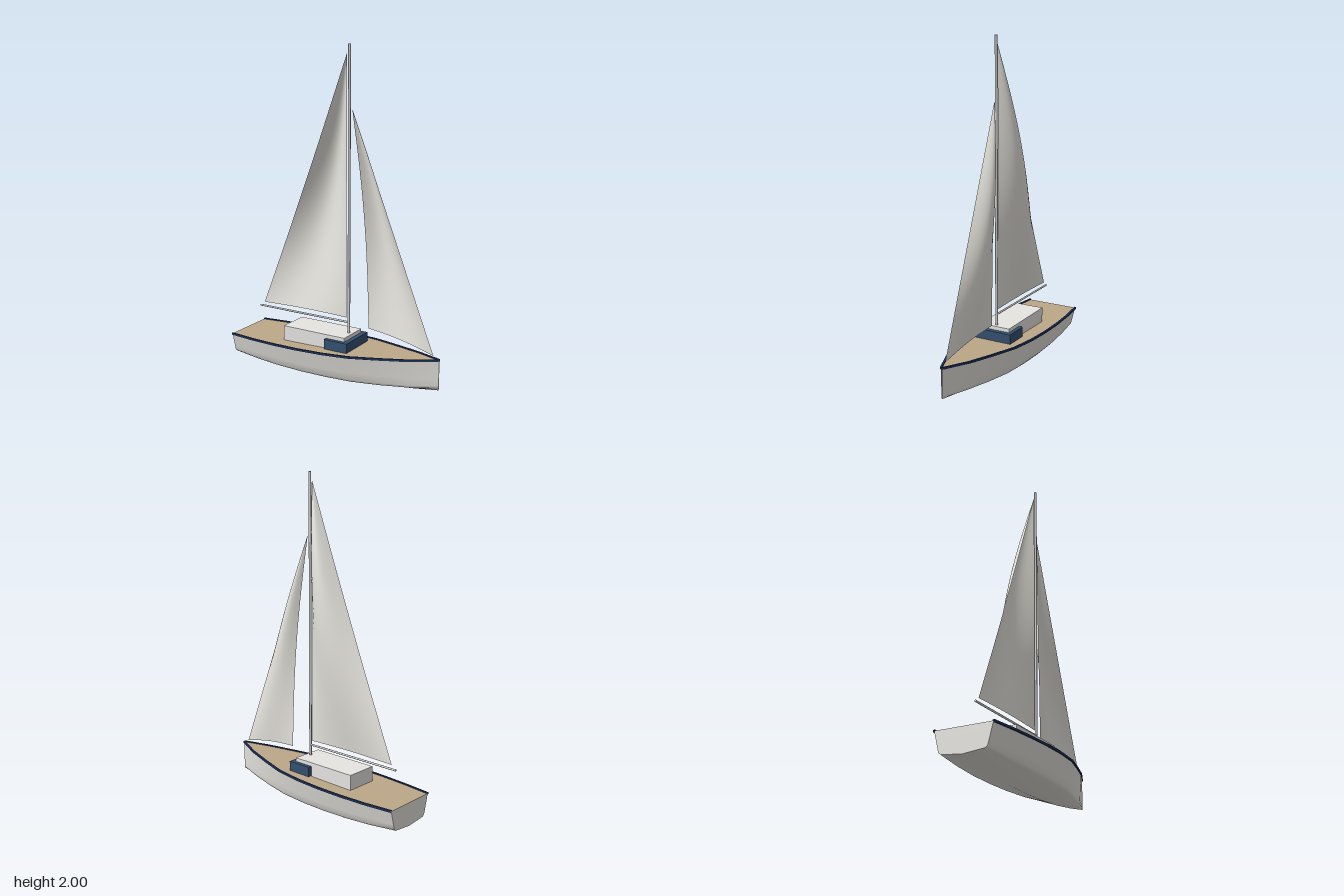
import * as THREE from 'three';

const mat = (name, color, side = THREE.FrontSide) => {
  const m = new THREE.MeshStandardMaterial({ color, side });
  m.name = name;
  return m;
};

// Skins a grid of points (rows of equal length) with smooth normals
function skin(rows) {
  const n = rows[0].length, index = [];
  for (let i = 0; i < rows.length - 1; i++)
    for (let j = 0; j < n - 1; j++) {
      const a = i * n + j, b = a + 1, c = a + n, d = c + 1;
      index.push(a, b, c, b, d, c);
    }
  const g = new THREE.BufferGeometry();
  g.setAttribute('position', new THREE.Float32BufferAttribute(rows.flat(2), 3));
  g.setIndex(index);
  g.computeVertexNormals();
  return g;
}

// Stations along the hull: x, half beam at the deck, deck height, keel height
const STATIONS = [
  [-0.68, 0.17, 0.2, 0.06], [-0.51, 0.19, 0.201, 0.036], [-0.34, 0.201, 0.203, 0.018],
  [-0.17, 0.204, 0.206, 0.008], [0, 0.197, 0.21, 0.005], [0.17, 0.176, 0.215, 0.008],
  [0.34, 0.128, 0.222, 0.018], [0.51, 0.074, 0.23, 0.036], [0.675, 0.003, 0.24, 0.06],
];

// Half section from deck edge over the chine to the keel
function halfSection([x, w, deck, keel], side) {
  const chine = keel + 0.015 + 0.035 * Math.cos((x / 0.68) * Math.PI / 2);
  const points = [0, 0.33, 0.67, 0.93].map(t =>
    [x, deck + (chine - deck) * t, side * w * (1 - 0.19 * t)]);
  points.push([x, chine + (keel - chine) * 0.16, side * w * 0.74]);
  points.push([x, chine + (keel - chine) * 0.55, side * w * 0.4]);
  points.push([x, keel, 0]);
  return points;
}

// Square rail section around the deck edge
function railSection([x, w, deck], side) {
  const r = 0.006;
  return [[r, -r], [r, r], [-r, r], [-r, -r], [r, -r]].map(([a, b]) => [x, deck + b, side * (w + a)]);
}

// Sail surface: front and rear edges as functions of height, with a belly towards -z
function sail(front, rear, depth, footLift = 0) {
  const rows = [], N = 24, M = 16;
  for (let i = 0; i <= N; i++) {
    const v = i / N, a = front(v), b = rear(v), row = [];
    for (let j = 0; j <= M; j++) {
      const u = j / M, bulge = Math.sin(Math.PI * u);
      row.push([
        a[0] + (b[0] - a[0]) * u,
        a[1] + (b[1] - a[1]) * u + footLift * bulge * (1 - v),
        a[2] + (b[2] - a[2]) * u - depth * bulge * Math.sin(Math.PI * v),
      ]);
    }
    rows.push(row);
  }
  return skin(rows);
}

export function createModel() {
  const model = new THREE.Group();
  model.name = 'sailboat';
  const hullWhite = mat('hullWhite', 0xe6e4de, THREE.DoubleSide);
  const cabinWhite = mat('cabinWhite', 0xe8e6e3);
  const teak = mat('teak', 0xbda888, THREE.DoubleSide);
  const navy = mat('navy', 0x1f3562, THREE.DoubleSide);
  const canopyBlue = mat('canopyBlue', 0x35506f);
  const spar = mat('sparGrey', 0xd2d2d0);
  const cloth = mat('sailCloth', 0xe8e6df, THREE.DoubleSide);

  const add = (name, geometry, material, x = 0, y = 0, z = 0) => {
    const m = new THREE.Mesh(geometry, material);
    m.name = name;
    m.position.set(x, y, z);
    model.add(m);
    return m;
  };

  // Hull, transom and deck
  add('hull', skin(STATIONS.map(s =>
    [...halfSection(s, 1), ...halfSection(s, -1).reverse().slice(1)])), hullWhite);
  add('transom', skin([halfSection(STATIONS[0], -1), halfSection(STATIONS[0], 1)]), hullWhite);
  add('deck', skin(STATIONS.map(([x, w, y]) => [[x, y, -w], [x, y, w]])), teak);

  // Rails along both deck edges
  for (const side of [1, -1]) {
    const g = skin(STATIONS.map(s => railSection(s, side))).toNonIndexed();
    g.computeVertexNormals();
    add(side > 0 ? 'frontRail' : 'backRail', g, navy);
  }

  // Cabin and the lower canopy wrapped around its forward end
  add('cabin', new THREE.BoxGeometry(0.435, 0.095, 0.2), cabinWhite, -0.1125, 0.2475);
  add('canopy', new THREE.BoxGeometry(0.157, 0.06, 0.248), canopyBlue, 0.0565, 0.242);

  // Mast and boom
  add('mast', new THREE.CylinderGeometry(0.008, 0.008, 1.79, 12), spar, 0.077, 1.105);
  add('boom', new THREE.CylinderGeometry(0.006, 0.006, 0.655, 12), spar, -0.25, 0.361)
    .rotation.z = Math.PI / 2;

  // Sails
  add('mainsail', sail(
    v => [0.06, 0.388 + 1.562 * v, 0],
    v => [-0.548 + 0.608 * v + 0.008 * Math.sin(Math.PI * v), 0.386 + 1.564 * v, 0],
    0.095, 0.006), cloth);
  add('jib', sail(
    v => [0.637 - 0.542 * v, 0.26 + 1.38 * v, 0],
    v => [0.193 - 0.098 * v + 0.02 * Math.sin(Math.PI * v), 0.333 + 1.307 * v,
      -0.035 * (1 - v) - 0.01 * Math.sin(Math.PI * v)],
    0.062, 0.012), cloth);
  return model;
}
